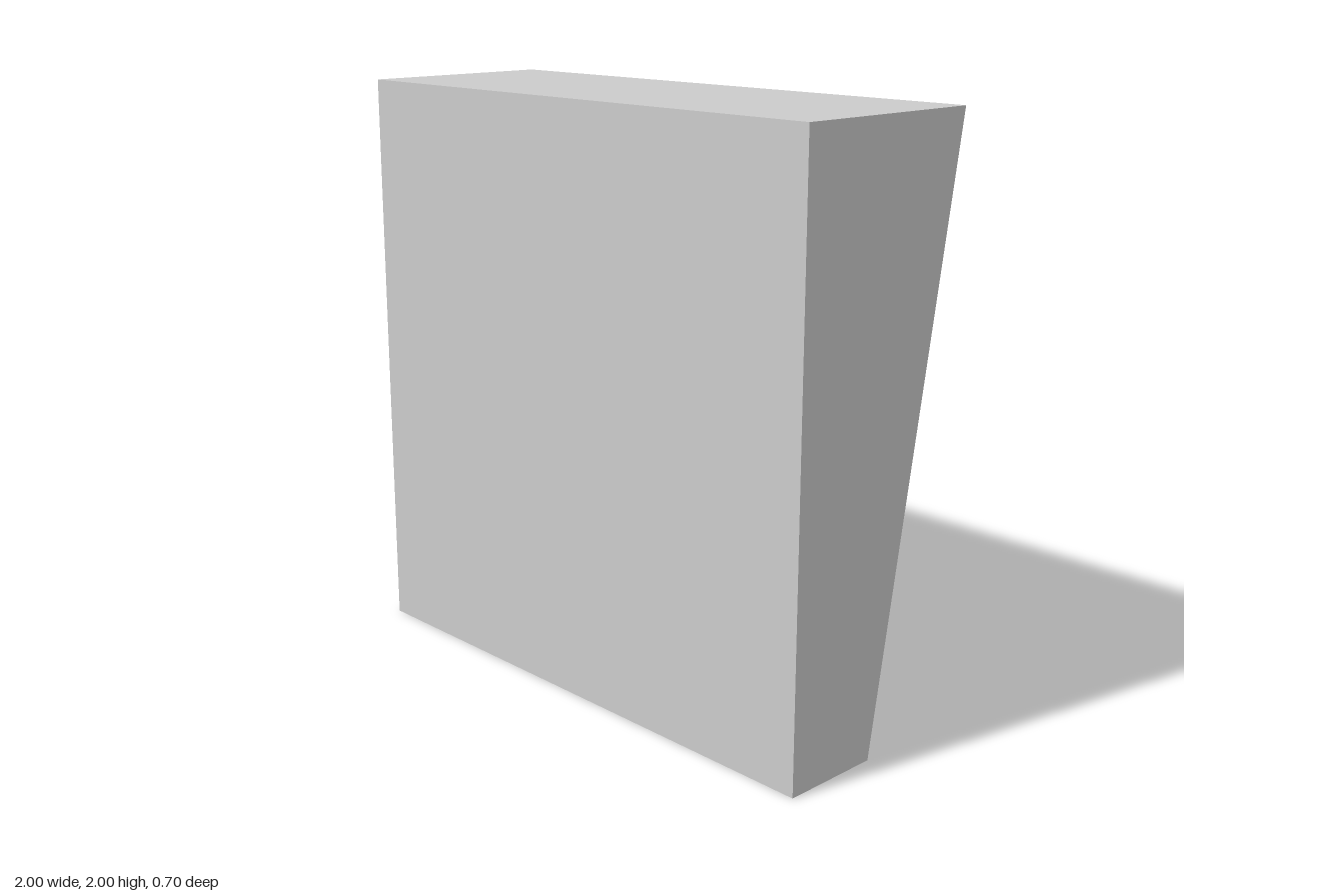
import * as THREE from 'three';

const FRONT_Z = 0.35;
const SLOPE = -0.175; // back face leans outward towards the top

// Flat-shaded mesh from polygons (corners counter-clockwise from outside)
function polyMesh(name, polygons, material) {
  const pos = [];
  for (const p of polygons) {
    for (let i = 1; i < p.length - 1; i++) pos.push(...p[0], ...p[i], ...p[i + 1]);
  }
  const geo = new THREE.BufferGeometry();
  geo.setAttribute('position', new THREE.Float32BufferAttribute(pos, 3));
  geo.computeVertexNormals();
  const mesh = new THREE.Mesh(geo, material);
  mesh.name = name;
  return mesh;
}

// Rectangle corners in order, as seen from behind
function rect(halfWidth, bottom, top, zAt) {
  return [[halfWidth, bottom], [-halfWidth, bottom], [-halfWidth, top], [halfWidth, top]]
    .map(([x, y]) => [x, y, zAt(y)]);
}

export function createModel() {
  const group = new THREE.Group();
  group.name = 'wedgePanel';
  const material = new THREE.MeshStandardMaterial({ color: 0xcccccc, flatShading: true });

  const backZ = (y) => SLOPE * y;
  const front = rect(1, 0, 2, () => FRONT_Z);
  const back = rect(1, 0, 2, backZ);
  const opening = rect(0.73, 0.265, 1.73, backZ);

  // Wedge body: front, four sides and the frame around the recess
  const body = [[...front].reverse()];
  for (let i = 0; i < 4; i++) {
    const j = (i + 1) % 4;
    body.push([back[j], back[i], front[i], front[j]]);
    body.push([back[i], back[j], opening[j], opening[i]]);
  }
  group.add(polyMesh('wedgeBody', body, material));

  // Recess: near-vertical floor, slanted ceiling and triangular cheeks
  const [bl, br, tr, tl] = opening;
  const innerLeft = [0.73, 1.318, -0.005];
  const innerRight = [-0.73, 1.318, -0.005];
  group.add(polyMesh('backRecess', [
    [bl, br, innerRight, innerLeft],
    [innerLeft, innerRight, tr, tl],
    [bl, innerLeft, tl],
    [br, tr, innerRight],
  ], material));

  return group;
}
